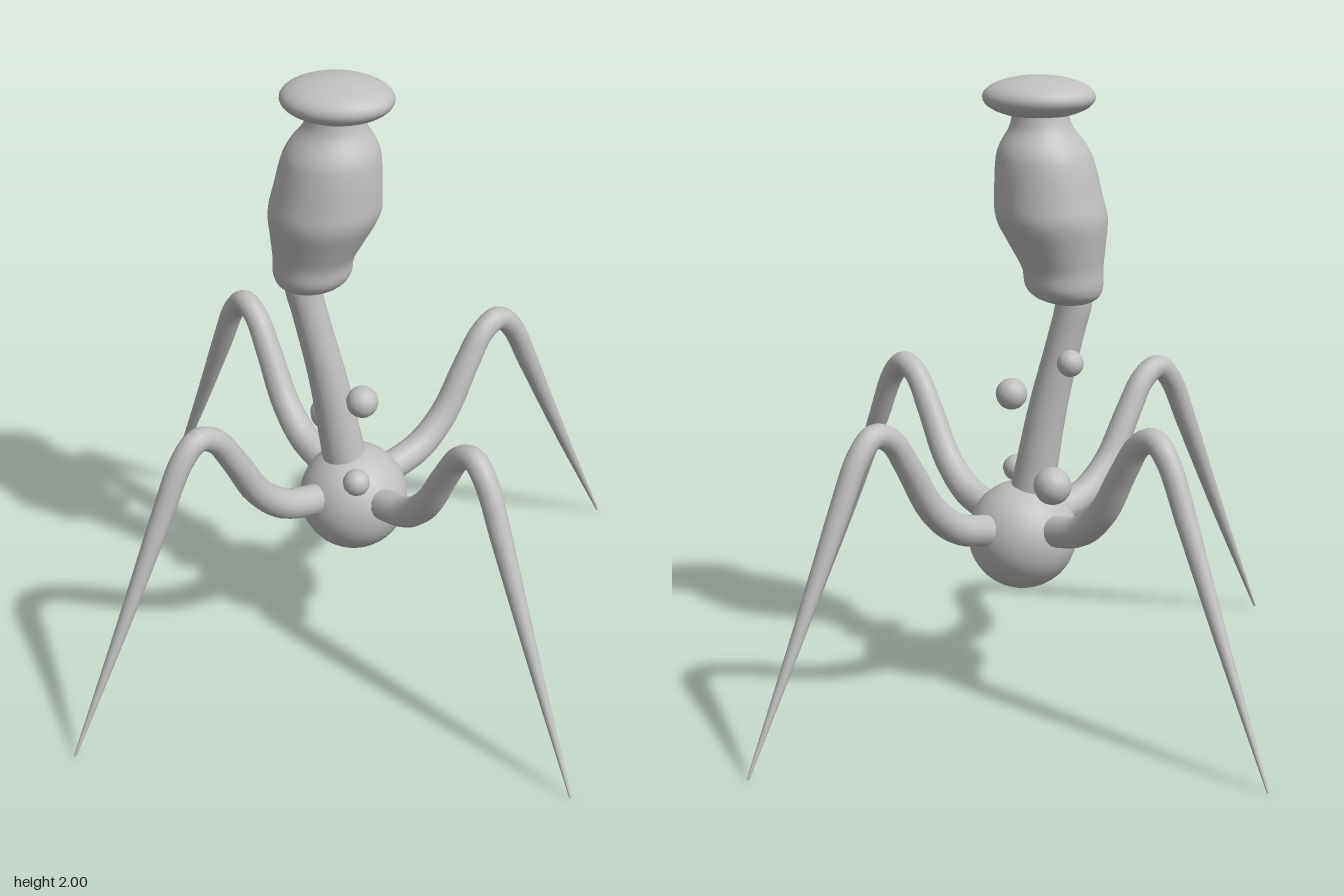
import * as THREE from 'three';

const V = (x, y, z) => new THREE.Vector3(x, y, z);

// Smooth skin over rings; ring(t) gives centre c and half-axes u, v, with u x v pointing forward
function loft(ring, rows, sides) {
  const pos = [], index = [];
  for (let i = 0; i <= rows; i++) {
    const { c, u, v } = ring(i / rows);
    for (let j = 0; j < sides; j++) {
      const a = (j / sides) * Math.PI * 2;
      const p = c.clone().addScaledVector(u, Math.cos(a)).addScaledVector(v, Math.sin(a));
      pos.push(p.x, p.y, p.z);
      if (i < rows) {
        const k = (j + 1) % sides, a0 = i * sides, b0 = a0 + sides;
        index.push(a0 + j, a0 + k, b0 + k, a0 + j, b0 + k, b0 + j);
      }
    }
  }
  const g = new THREE.BufferGeometry();
  g.setAttribute('position', new THREE.Float32BufferAttribute(pos, 3));
  g.setIndex(index);
  g.computeVertexNormals();
  return g;
}

// Upright skin through rows of [centre x, height, radius]
function column(rows, steps) {
  const path = new THREE.CatmullRomCurve3(rows.map(([x, y, r]) => V(x, y, r)), false, 'centripetal');
  return loft((t) => {
    const p = path.getPoint(t);
    return { c: V(p.x, p.y, 0), u: V(0, 0, p.z), v: V(p.z, 0, 0) };
  }, steps, 28);
}

// Leg profile: distance out from the centre, height, radius
const LEG = [
  [0.08, 0.56, 0.05], [0.18, 0.575, 0.05], [0.28, 0.605, 0.049], [0.38, 0.69, 0.046],
  [0.47, 0.84, 0.042], [0.54, 0.942, 0.039], [0.605, 0.97, 0.038], [0.665, 0.92, 0.037],
  [0.745, 0.76, 0.034], [0.82, 0.6, 0.028], [0.92, 0.39, 0.02], [1.112, 0.002, 0.004],
];

function legGeometry(sx, sz) {
  const dir = V(sx * 0.775, 0, sz * 0.8).normalize();
  const side = V(-dir.z, 0, dir.x);
  const path = new THREE.CatmullRomCurve3(LEG.map(([d, y, r]) => V(d, y, r)), false, 'centripetal');
  return loft((t) => {
    const p = path.getPoint(t), q = path.getTangent(t);
    const tangent = dir.clone().multiplyScalar(q.x).add(V(0, q.y, 0)).normalize();
    return {
      c: dir.clone().multiplyScalar(p.x).setY(p.y),
      u: side.clone().multiplyScalar(p.z),
      v: tangent.clone().cross(side).multiplyScalar(p.z),
    };
  }, 55, 14);
}

export function createModel() {
  const model = new THREE.Group();
  const grey = new THREE.MeshStandardMaterial({ color: 0xc0c0c0 });
  grey.name = 'plain grey';

  const add = (name, geometry, x = 0, y = 0, z = 0) => {
    const mesh = new THREE.Mesh(geometry, grey);
    mesh.name = name;
    mesh.position.set(x, y, z);
    model.add(mesh);
    return mesh;
  };

  // Round base hub
  add('hub', new THREE.SphereGeometry(0.175, 28, 20), 0, 0.525, 0);

  // Four bent, tapering legs
  for (const sx of [-1, 1]) {
    for (const sz of [-1, 1]) {
      add((sz > 0 ? 'front' : 'back') + (sx > 0 ? 'Left' : 'Right') + 'Leg', legGeometry(sx, sz));
    }
  }

  // Leaning stem
  add('stem', column([
    [-0.005, 0.55, 0.075], [-0.035, 0.7, 0.07], [-0.08, 0.95, 0.062],
    [-0.135, 1.18, 0.057], [-0.16, 1.29, 0.058], [-0.155, 1.36, 0.06],
  ], 24));

  // Bulging vase on top of the stem
  add('vase', column([
    [-0.155, 1.285, 0.03], [-0.148, 1.295, 0.07], [-0.138, 1.315, 0.105], [-0.13, 1.345, 0.122],
    [-0.125, 1.4, 0.127], [-0.11, 1.47, 0.148], [-0.09, 1.56, 0.174], [-0.08, 1.63, 0.168],
    [-0.067, 1.75, 0.15], [-0.062, 1.79, 0.133], [-0.057, 1.84, 0.1], [-0.055, 1.87, 0.09],
    [-0.054, 1.9, 0.085],
  ], 48));

  // Flattened oval cap
  const cap = add('cap', new THREE.SphereGeometry(1, 32, 20), -0.05, 1.935, 0);
  cap.scale.set(0.175, 0.065, 0.143);

  // Small bubbles floating around the stem
  const bubbles = [
    [0.043, 0.955, 0.122, 0.051], [0.032, 0.69, 0.18, 0.043],
    [-0.103, 0.735, -0.153, 0.06], [-0.155, 1.122, -0.115, 0.042],
  ];
  bubbles.forEach(([x, y, z, r], i) => add('bubble' + (i + 1), new THREE.SphereGeometry(r, 14, 12), x, y, z));

  return model;
}
